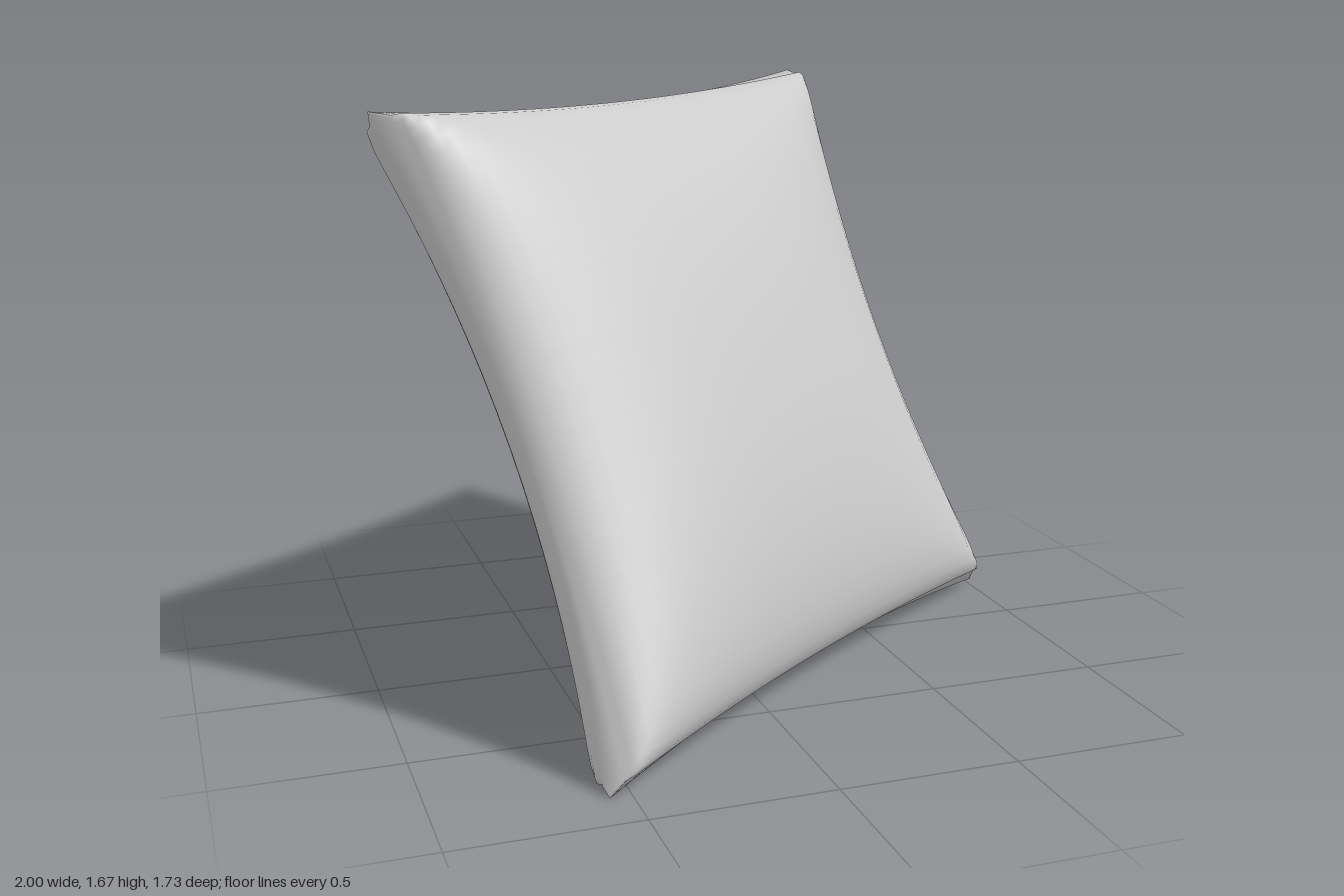
import * as THREE from 'three';
import { mergeVertices } from 'three/addons/utils/BufferGeometryUtils.js';

// Square cushion: a subdivided box puffed out in the middle, with edges drawn in between blunt corners.
function cushionGeometry() {
  const box = new THREE.BoxGeometry(2, 2, 2, 28, 28, 2);
  box.deleteAttribute('uv');
  box.deleteAttribute('normal');
  const geo = mergeVertices(box, 1e-4);
  const pos = geo.attributes.position;
  const round = (a) => Math.sqrt(Math.max(0, 1 - Math.pow(Math.abs(a), 2.3)));
  // Soft minimum, so the filling stays full along each edge up to the corners
  const fill = (a, b) => Math.pow(Math.pow(a, -3) + Math.pow(b, -3) - 1, -1 / 3);
  for (let i = 0; i < pos.count; i++) {
    // Sine spacing gathers the loops near the rounded rim
    const s = Math.sin(pos.getX(i) * Math.PI / 2);
    const t = Math.sin(pos.getY(i) * Math.PI / 2);
    const side = pos.getZ(i);
    const corner = s * s * t * t;
    const halfThickness = 0.01 + 0.03 * corner + 0.238 * fill(round(s), round(t));
    // The corners come to a blunt tip halfway through the thickness
    const tip = 1 - 0.03 * corner * Math.abs(side);
    pos.setXYZ(i,
      s * (0.833 + 0.126 * t * t) * tip,
      t * (0.852 + 0.052 * s * s) * tip,
      side * halfThickness);
  }
  geo.computeVertexNormals();
  return geo;
}

export function createModel() {
  const group = new THREE.Group();
  group.name = 'throwPillow';

  const cushion = new THREE.Mesh(
    cushionGeometry(),
    new THREE.MeshStandardMaterial({ color: 0xcccccc })
  );
  cushion.name = 'cushion';

  // Turned to one side and leaning back
  const across = new THREE.Vector3(0.81, 0.01, -0.583).normalize();
  const up = new THREE.Vector3(-0.25, 0.915, -0.318);
  const facing = new THREE.Vector3().crossVectors(across, up).normalize();
  up.crossVectors(facing, across);
  cushion.quaternion.setFromRotationMatrix(new THREE.Matrix4().makeBasis(across, up, facing));
  cushion.position.set(0, 0.852, 0.01);
  group.add(cushion);

  return group;
}
